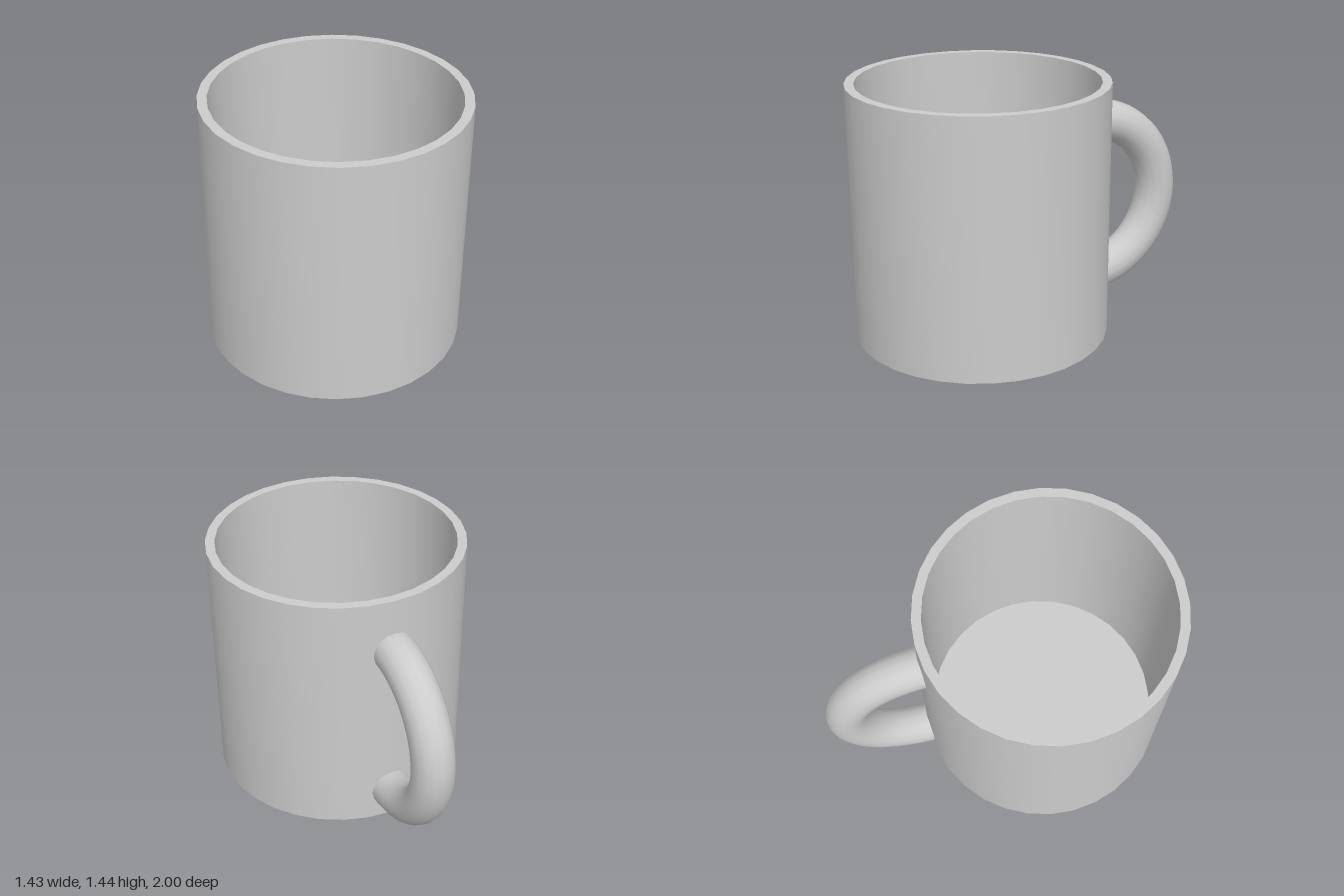
import * as THREE from 'three';
import { toCreasedNormals } from 'three/addons/utils/BufferGeometryUtils.js';

const HEIGHT = 1.44, OUTER = 0.717, INNER = 0.665, FLOOR = 0.05;

export function createModel() {
  const group = new THREE.Group();
  group.name = 'mug';
  const material = new THREE.MeshStandardMaterial({ color: 0xcccccc });

  // Hollow body: base, outer wall, rim, inner wall and floor in one profile
  const profile = [
    [0, 0], [OUTER, 0], [OUTER, HEIGHT], [INNER, HEIGHT], [INNER, FLOOR], [0, FLOOR],
  ].map(([x, y]) => new THREE.Vector2(x, y));
  const body = new THREE.Mesh(toCreasedNormals(new THREE.LatheGeometry(profile, 32), 0.6), material);
  body.name = 'body';
  body.position.z = 0.283;
  group.add(body);

  // Half-ring handle at the back, its ends buried in the wall
  const handle = new THREE.Mesh(new THREE.TorusGeometry(0.472, 0.117, 16, 32, Math.PI), material);
  handle.name = 'handle';
  handle.rotation.set(0, -Math.PI / 2, Math.PI / 2);
  handle.position.set(0, 0.653, -0.411);
  group.add(handle);

  return group;
}
